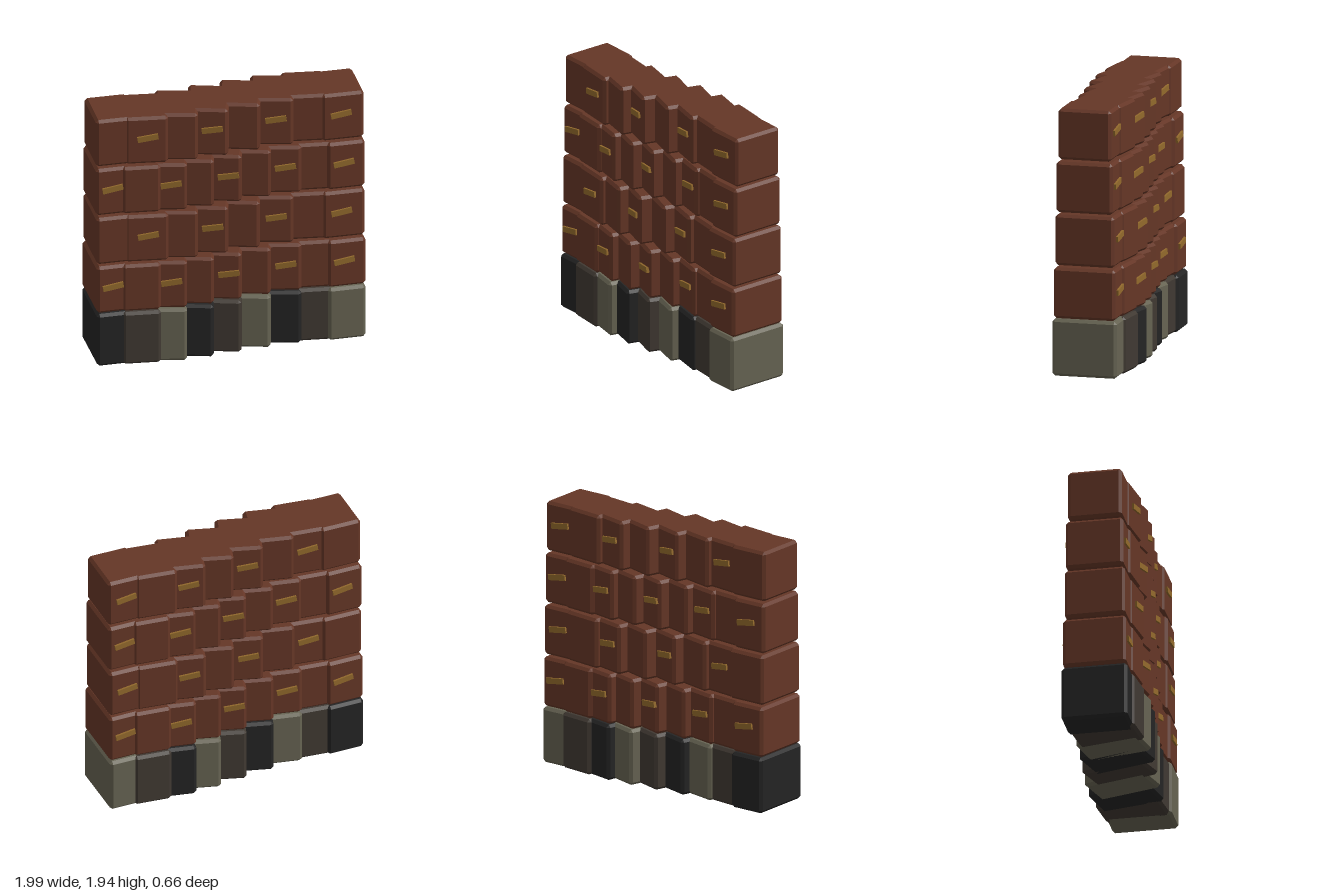
import * as THREE from 'three';
import { ConvexGeometry } from 'three/addons/geometries/ConvexGeometry.js';

const flat = (name, color) => {
  const m = new THREE.MeshStandardMaterial({ color });
  m.name = name;
  return m;
};

// Box with every edge and corner cut at 45 degrees
function chamferedBox(w, h, d, c) {
  const points = [];
  for (const sx of [-1, 1]) for (const sy of [-1, 1]) for (const sz of [-1, 1]) {
    const x = sx * w / 2, y = sy * h / 2, z = sz * d / 2;
    points.push(
      new THREE.Vector3(x, y - sy * c, z - sz * c),
      new THREE.Vector3(x - sx * c, y, z - sz * c),
      new THREE.Vector3(x - sx * c, y - sy * c, z));
  }
  return new ConvexGeometry(points);
}

// S-shaped centre line of the wall and the turn of a block on it
const BEND = 0.09, WAVE = 2.4;
const pathZ = (x) => -BEND * Math.sin(WAVE * x);
const pathTurn = (x) => -Math.atan(BEND * WAVE * Math.cos(WAVE * x));

export function createModel() {
  const model = new THREE.Group();
  model.name = 'curvedBlockWall';

  const stones = [
    flat('blackStone', 0x242424),
    flat('darkBrownStone', 0x403932),
    flat('oliveGreyStone', 0x666352),
  ];
  const brick = flat('redBrownBrick', 0x653626);
  const ochre = flat('ochreMark', 0x936a2c);

  // A row of overlapping blocks; decorate() may add details to each block group
  function addRow(name, count, endX, width, y, height, depth, material, decorate) {
    const row = new THREE.Group();
    row.name = name;
    const geometry = chamferedBox(width, height, depth, 0.02);
    for (let i = 0; i < count; i++) {
      const x = -endX + (2 * endX * i) / (count - 1);
      const unit = new THREE.Group();
      unit.name = name + 'Unit';
      unit.position.set(x, y, pathZ(x));
      unit.rotation.y = pathTurn(x);
      const block = new THREE.Mesh(geometry, material(i));
      block.name = name + 'Block';
      unit.add(block);
      if (decorate) decorate(unit, i, depth);
      row.add(unit);
    }
    model.add(row);
  }

  // Slanted marks on the front and the back of a block
  const markGeometry = new THREE.BoxGeometry(0.15, 0.042, 0.024);
  function addMarks(unit, depth) {
    const turn = unit.rotation.y;
    for (const side of [1, -1]) {
      const mark = new THREE.Mesh(markGeometry, ochre);
      mark.name = side > 0 ? 'frontMark' : 'backMark';
      // sideways shift keeps the mark straight ahead of the block's centre
      const out = depth / 2 + 0.003;
      mark.position.set(-side * out * Math.tan(turn), 0.025, side * out);
      mark.rotation.set(0, side > 0 ? 0 : Math.PI, 0.15, 'YXZ');
      unit.add(mark);
    }
  }

  // Stone footing in three repeating colours
  addRow('footing', 9, 0.84, 0.275, 0.206, 0.412, 0.475, (i) => stones[i % 3]);

  // Four brick courses in running bond, each a little thinner than the last
  const depths = [0.455, 0.435, 0.415, 0.39];
  depths.forEach((depth, r) => {
    const odd = r % 2;
    addRow('course' + (r + 1), odd ? 8 : 9, odd ? 0.822 : 0.84, odd ? 0.305 : 0.275,
      0.601 + r * 0.3838, 0.368, depth, () => brick,
      (unit, i, d) => { if (i % 2 === odd) addMarks(unit, d); });
  });

  return model;
}
